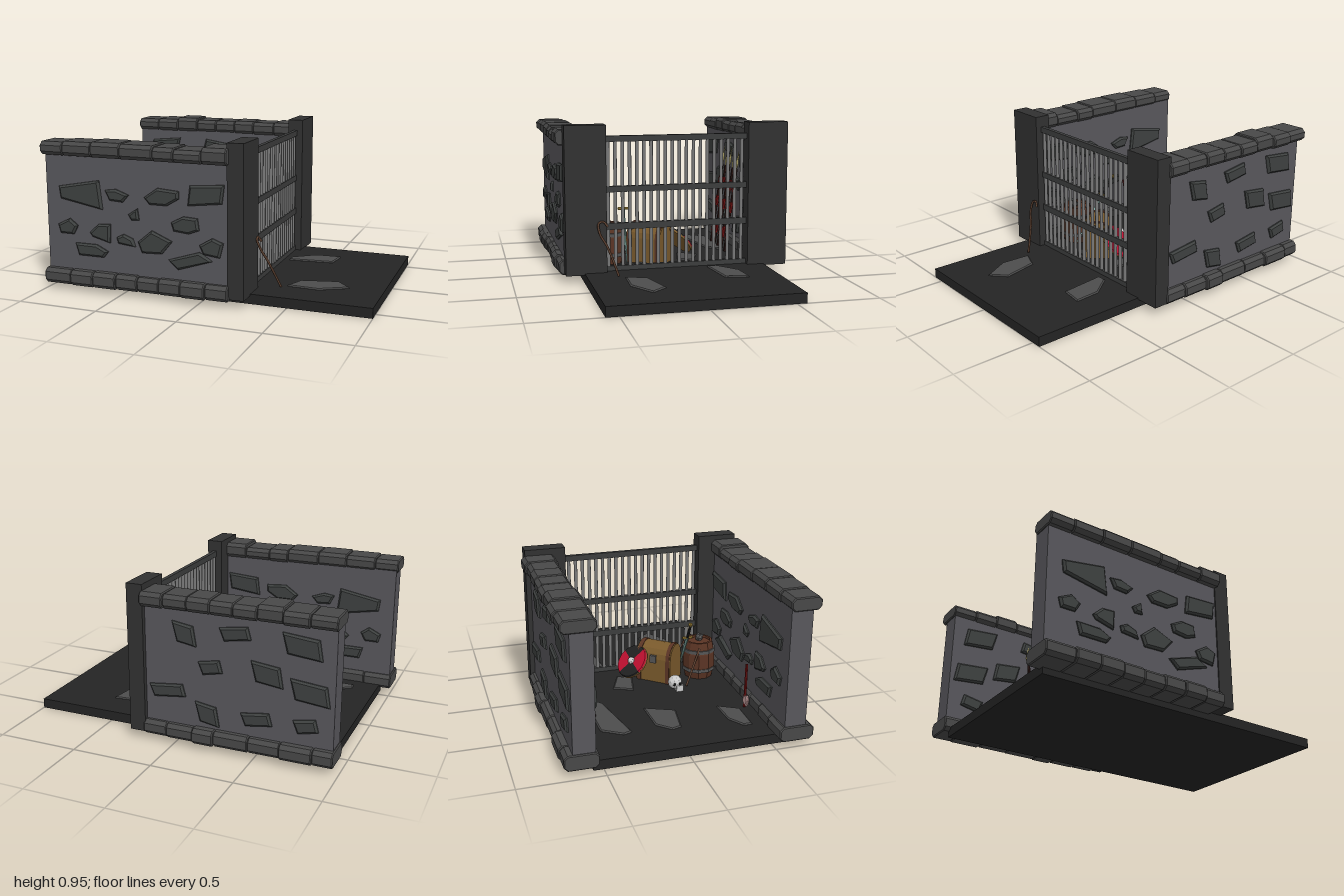
import * as THREE from 'three';

let seed = 7;
const rand = () => { seed = (seed * 16807) % 2147483647; return seed / 2147483647; };
const jitter = (a) => (rand() - 0.5) * 2 * a;
const mat = (color, flatShading = true) => new THREE.MeshStandardMaterial({ color, flatShading });

const M = {
  floor: mat(0x242424), slab: mat(0x4c4c4c), panel: mat(0x58575c), stone: mat(0x3e4140),
  trim: mat(0x484848), pillar: mat(0x313131), rail: mat(0x3c3d3d), bar: mat(0x7a7a7a, false),
  wood: mat(0x7a5a2c), darkWood: mat(0x5a3424), iron: mat(0x555555), red: mat(0xc01030),
  black: mat(0x222222), shaft: mat(0x2c1714), wrap: mat(0x6a1010), tip: mat(0xb0a468),
  bone: mat(0xc8c8c4), rope: mat(0x5c4030, false), blade: mat(0x7fa8a0), gold: mat(0xa88a3a)
};

function add(parent, name, geo, material, x = 0, y = 0, z = 0) {
  const m = new THREE.Mesh(geo, material);
  m.name = name;
  m.position.set(x, y, z);
  parent.add(m);
  return m;
}
const box = (p, name, w, h, d, material, x, y, z) =>
  add(p, name, new THREE.BoxGeometry(w, h, d), material, x, y, z);

function group(parent, name, x = 0, y = 0, z = 0) {
  const g = new THREE.Group();
  g.name = name;
  g.position.set(x, y, z);
  parent.add(g);
  return g;
}

// Polygon plate with a chamfered rim; total thickness runs from z = 0 to depth
function plate(points, depth, bevel) {
  const shape = new THREE.Shape(points.map(([x, y]) => new THREE.Vector2(x, y)));
  const geo = new THREE.ExtrudeGeometry(shape, {
    depth: depth - 2 * bevel, bevelEnabled: true, bevelSegments: 1,
    bevelThickness: bevel, bevelSize: bevel, bevelOffset: -bevel
  });
  return geo.translate(0, 0, bevel);
}

// Row of rough chamfered blocks along x
function trimRow(parent, name, xs, y0, y1, zc, wavy) {
  const row = group(parent, name);
  for (let i = 0; i < xs.length - 1; i++) {
    const w = 0.1 + jitter(0.008), c = 0.022, zo = zc + jitter(0.006);
    const top = y1 + (wavy ? jitter(0.012) : jitter(0.004)), bot = y0;
    const geo = plate([[-w, bot + c], [-w + c, bot], [w - c, bot], [w, bot + c],
      [w, top - c], [w - c, top], [-w + c, top], [-w, top - c]], xs[i + 1] - xs[i], 0.006);
    geo.rotateY(Math.PI / 2);
    add(row, 'trimBlock', geo, M.trim, xs[i], 0, zo);
  }
}

function wall(parent, name, side, x0, stones) {
  const g = group(parent, name);
  box(g, 'wallPanel', 0.2 - x0 - 0.01, 0.8, 0.13, M.panel, (0.2 + x0 + 0.01) / 2, 0.46, side * 0.615);
  const rows = [[-0.85, -0.66, -0.47, -0.26, -0.13, 0.04], [-0.82, -0.67, -0.52, -0.38, -0.24, -0.1, 0.05]];
  trimRow(g, 'topTrim', [x0, ...rows[side > 0 ? 0 : 1], 0.19], 0.83, 0.915, side * 0.63, true);
  trimRow(g, 'bottomTrim', [x0, ...rows[side > 0 ? 1 : 0], 0.19], 0.037, 0.13, side * 0.63, false);
  // stones pass through the wall and show on both faces
  for (const s of stones) add(g, 'wallStone', plate(s, 0.17, 0.012), M.stone, 0, 0, side * 0.615 - 0.085);
}

function cylinderBetween(parent, name, a, b, r, material, sides = 6, rTop = r) {
  const A = new THREE.Vector3(...a), B = new THREE.Vector3(...b), d = B.clone().sub(A);
  const m = add(parent, name, new THREE.CylinderGeometry(rTop, r, d.length(), sides), material);
  m.position.copy(A).add(B).multiplyScalar(0.5);
  m.quaternion.setFromUnitVectors(new THREE.Vector3(0, 1, 0), d.normalize());
  return m;
}

export function createModel() {
  const root = new THREE.Group();
  root.name = 'dungeonCell';

  // floor and raised flagstones, outlines as (x, z)
  box(root, 'floor', 1.93, 0.06, 1.135, M.floor, 0.035, 0.03, 0.0075);
  const slabs = [
    [[-0.61, -0.44], [-0.16, -0.44], [-0.26, -0.34], [-0.67, -0.265], [-0.69, -0.32]],
    [[-0.71, -0.03], [-0.63, -0.11], [-0.4, -0.115], [-0.48, 0.065], [-0.69, 0.03]],
    [[-0.78, 0.39], [-0.68, 0.33], [-0.5, 0.325], [-0.57, 0.45], [-0.775, 0.445]],
    [[-0.07, -0.22], [0.1, -0.15], [0.05, -0.06], [-0.13, -0.1]],
    [[0.08, 0.08], [0.2, 0.07], [0.13, 0.2], [0, 0.24]],
    [[0.28, -0.25], [0.42, -0.355], [0.585, -0.365], [0.565, -0.22], [0.28, -0.19]],
    [[0.435, 0.355], [0.485, 0.23], [0.71, 0.175], [0.795, 0.27], [0.63, 0.365]]
  ];
  for (const s of slabs)
    add(root, 'flagstone', plate(s.map(([x, z]) => [x, -z]), 0.02, 0.007).rotateX(-Math.PI / 2), M.slab, 0, 0.048, 0);

  // side walls, stone outlines as (x, y)
  wall(root, 'frontWall', 1, -1, [
    [[-0.9, 0.64], [-0.63, 0.69], [-0.61, 0.515], [-0.89, 0.565]],
    [[-0.59, 0.635], [-0.52, 0.645], [-0.435, 0.615], [-0.475, 0.57], [-0.56, 0.575]],
    [[-0.335, 0.61], [-0.25, 0.67], [-0.115, 0.66], [-0.115, 0.615], [-0.19, 0.57], [-0.3, 0.57]],
    [[-0.045, 0.7], [0.165, 0.715], [0.15, 0.605], [-0.06, 0.58]],
    [[-0.44, 0.5], [-0.38, 0.54], [-0.37, 0.47], [-0.42, 0.467]],
    [[-0.165, 0.475], [-0.09, 0.515], [0, 0.51], [0.01, 0.44], [-0.055, 0.415], [-0.15, 0.425]],
    [[-0.915, 0.405], [-0.835, 0.445], [-0.78, 0.405], [-0.81, 0.35], [-0.9, 0.35]],
    [[-0.7, 0.37], [-0.64, 0.425], [-0.56, 0.43], [-0.565, 0.315], [-0.68, 0.345]],
    [[-0.52, 0.355], [-0.475, 0.378], [-0.415, 0.355], [-0.398, 0.307], [-0.51, 0.318]],
    [[-0.38, 0.34], [-0.29, 0.415], [-0.16, 0.36], [-0.227, 0.28], [-0.355, 0.275]],
    [[0.01, 0.355], [0.09, 0.403], [0.158, 0.377], [0.136, 0.29], [0.035, 0.302]],
    [[-0.185, 0.25], [0.01, 0.313], [0.09, 0.265], [-0.125, 0.195]],
    [[-0.8, 0.297], [-0.655, 0.297], [-0.58, 0.26], [-0.61, 0.222], [-0.778, 0.222]]
  ]);
  const spots = [[-0.07, 0.69], [-0.38, 0.73], [-0.77, 0.71], [-0.23, 0.51], [-0.57, 0.52],
    [0.04, 0.33], [-0.21, 0.22], [-0.51, 0.24], [-0.82, 0.45], [-0.8, 0.25]];
  wall(root, 'backWall', -1, -0.97, spots.map(([x, y], i) => {
    const w = 0.075 + 0.02 * (i % 3), h = 0.05, k = i % 2 ? 0.025 : -0.02;
    return [[x - w, y - h + k], [x + w - 0.03, y - h], [x + w, y + h - k], [x - w + 0.02, y + h]];
  }));

  // gate posts
  box(root, 'frontPillar', 0.1, 0.905, 0.25, M.pillar, 0.23, 0.5025, 0.5625);
  box(root, 'backPillar', 0.1, 0.905, 0.255, M.pillar, 0.23, 0.5025, -0.5825);

  // barred gate
  const gate = group(root, 'gate', 0.23);
  for (const [y, h] of [[0.868, 0.036], [0.563, 0.036], [0.335, 0.04], [0.075, 0.03]])
    box(gate, 'gateRail', 0.026, h, 0.9, M.rail, 0, y, -0.005);
  for (let i = 0; i < 20; i++)
    add(gate, 'gateBar', new THREE.CylinderGeometry(0.011, 0.011, 0.81, 10), M.bar, 0, 0.465, 0.42 - i * 0.0445);

  // crooked rope by the front pillar
  const ropePath = new THREE.CatmullRomCurve3([[0.345, 0.435], [0.375, 0.46], [0.365, 0.49], [0.305, 0.485],
    [0.24, 0.45], [0.16, 0.42], [0.065, 0.39]].map(([y, z]) => new THREE.Vector3(0.433 - 0.39 * y, y, z)));
  add(root, 'crookedStick', new THREE.TubeGeometry(ropePath, 30, 0.007, 6), M.rope);

  // spears leaning on the back wall
  for (let i = 0; i < 5; i++) {
    const s = group(root, 'spear', -0.43 + i * 0.078, 0.06, -0.43);
    s.rotation.x = -0.14;
    add(s, 'spearShaft', new THREE.CylinderGeometry(0.009, 0.009, 0.56, 6), M.shaft, 0, 0.28, 0);
    for (const y of [0.12, 0.3, 0.44])
      add(s, 'spearWrap', new THREE.CylinderGeometry(0.012, 0.012, 0.07, 6), M.wrap, 0, y, 0);
    const tip = add(s, 'spearTip', new THREE.LatheGeometry([[0.005, 0], [0.024, 0.045], [0, 0.14]]
      .map(([x, y]) => new THREE.Vector2(x, y)), 4), M.tip, 0, 0.55, 0);
    tip.scale.z = 0.4;
  }

  // hooped barrel
  const barrel = group(root, 'barrel', 0, 0.06, 0.385);
  add(barrel, 'barrelBody', new THREE.LatheGeometry([[0, 0], [0.09, 0], [0.108, 0.08], [0.108, 0.17], [0.09, 0.25],
    [0.075, 0.25], [0.075, 0.235], [0, 0.235]].map(([x, y]) => new THREE.Vector2(x, y)), 10), M.darkWood);
  for (const y of [0.06, 0.19])
    add(barrel, 'barrelHoop', new THREE.CylinderGeometry(0.11, 0.11, 0.022, 10), M.iron, 0, y, 0);
  add(barrel, 'barrelTopKnob', new THREE.IcosahedronGeometry(0.03, 0), M.iron, 0.02, 0.255, 0.01);

  // sword and stick resting by the barrel
  const sword = group(root, 'sword');
  cylinderBetween(sword, 'swordBlade', [0.1, 0.07, 0.28], [-0.12, 0.38, 0.262], 0.004, M.blade, 4, 0.012);
  cylinderBetween(sword, 'swordGuard', [-0.12, 0.38, 0.23], [-0.12, 0.38, 0.295], 0.009, M.gold);
  cylinderBetween(sword, 'swordGrip', [-0.12, 0.38, 0.262], [-0.2, 0.49, 0.252], 0.01, M.black);
  add(sword, 'swordPommel', new THREE.IcosahedronGeometry(0.015, 0), M.gold, -0.205, 0.5, 0.25);
  cylinderBetween(root, 'stick', [-0.18, 0.07, 0.24], [-0.09, 0.28, 0.36], 0.007, M.rope);

  // treasure chest with rounded lid
  const chest = group(root, 'chest', 0.035, 0.06, 0.12);
  chest.rotation.y = -0.72;
  box(chest, 'chestBox', 0.18, 0.16, 0.24, M.wood, 0, 0.08, 0);
  const lid = (name, r, len, z, material) => add(chest, name,
    new THREE.CylinderGeometry(r, r, len, 8, 1, false, -Math.PI / 2, Math.PI).rotateX(-Math.PI / 2), material, 0, 0.16, z);
  lid('chestLid', 0.09, 0.24, 0, M.wood);
  for (const z of [-0.1, 0.1]) {
    lid('lidBand', 0.095, 0.025, z, M.darkWood);
    box(chest, 'chestBand', 0.19, 0.16, 0.025, M.darkWood, 0, 0.08, z);
  }
  box(chest, 'chestLock', 0.02, 0.05, 0.04, M.iron, -0.092, 0.16, 0);

  // quartered round shield leaning on the chest
  const shield = group(root, 'shield', 0.03, 0.19, -0.06);
  shield.quaternion.setFromUnitVectors(new THREE.Vector3(0, 1, 0), new THREE.Vector3(-0.3, 0.66, -0.69).normalize());
  add(shield, 'shieldBack', new THREE.CylinderGeometry(0.115, 0.115, 0.012, 20), M.wood);
  for (let i = 0; i < 4; i++)
    add(shield, 'shieldQuarter', new THREE.CylinderGeometry(0.11, 0.115, 0.01, 5, 1, false, i * Math.PI / 2, Math.PI / 2),
      i % 2 ? M.red : M.black, 0, 0.01, 0);
  add(shield, 'shieldBoss', new THREE.SphereGeometry(0.025, 8, 4, 0, Math.PI * 2, 0, Math.PI / 2), M.bone, 0, 0.014, 0);

  // skull
  const skull = group(root, 'skull', -0.185, 0.11, 0.16);
  add(skull, 'cranium', new THREE.IcosahedronGeometry(0.046, 1), M.bone);
  box(skull, 'jaw', 0.05, 0.04, 0.045, M.bone, -0.02, -0.03, 0.02);
  for (const z of [0, 0.036]) add(skull, 'eyeSocket', new THREE.IcosahedronGeometry(0.012, 0), M.black, -0.038, 0, z - 0.014);

  // hand axe resting head down against the front wall
  const axe = group(root, 'axe', -0.56, 0.065, 0.485);
  axe.rotation.set(0.08, 0, -0.15);
  add(axe, 'axeHandle', new THREE.CylinderGeometry(0.009, 0.009, 0.27, 6), M.wrap, 0, 0.135, 0);
  add(axe, 'axeHead', plate([[0.015, 0.03], [0.015, 0.07], [-0.03, 0.08], [-0.05, 0.05], [-0.03, 0.01]], 0.02, 0.006),
    mat(0xc8a0a0), 0, 0, -0.01);
  return root;
}
